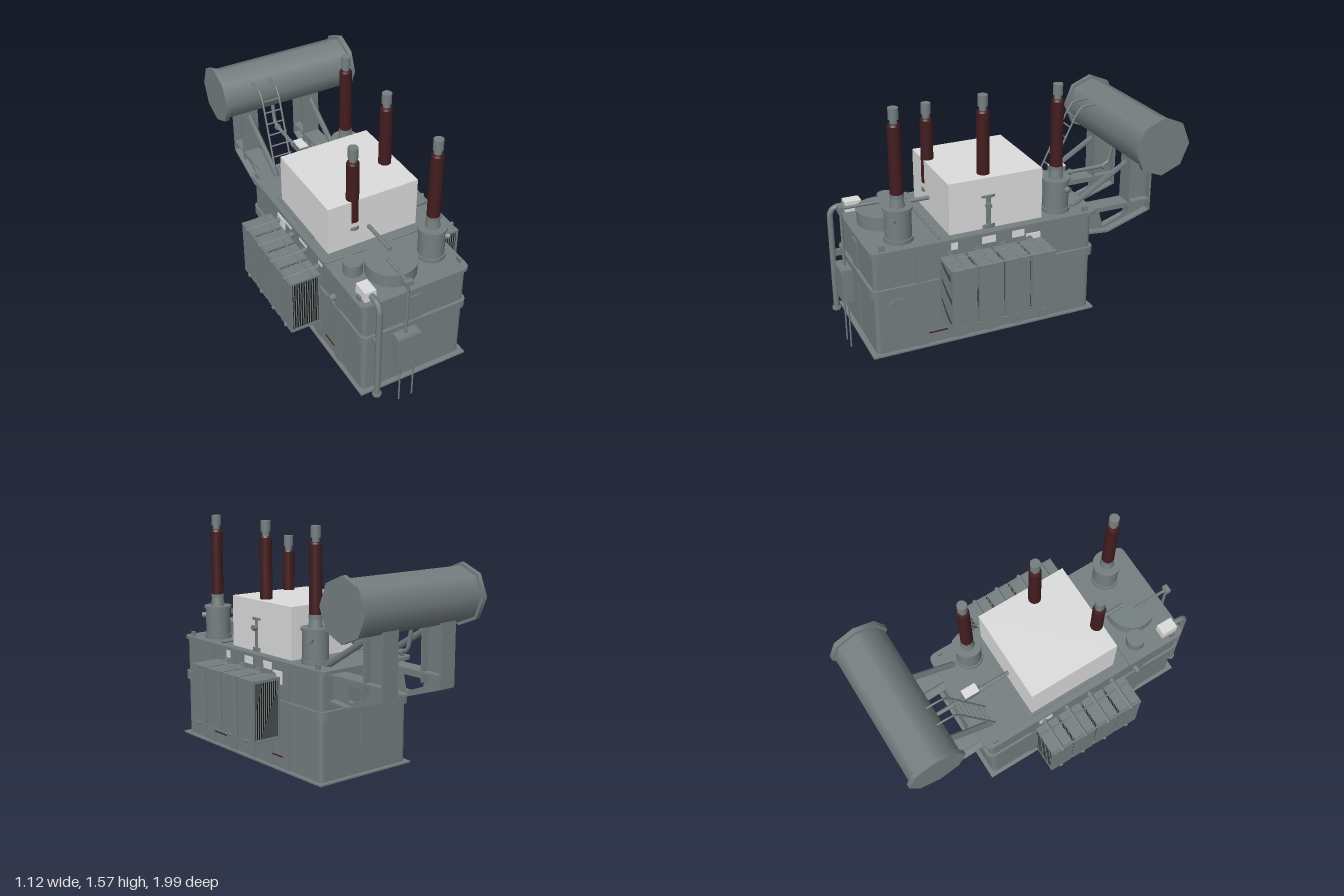
import * as THREE from 'three';

export function createModel() {
  const root = new THREE.Group();
  root.name = 'powerTransformer';
  const material = (name, color) => {
    const m = new THREE.MeshStandardMaterial({ color });
    m.name = name;
    return m;
  };
  const grey = material('steel grey', 0x757e80);
  const light = material('light grey', 0xdcdcdc);
  const maroon = material('porcelain maroon', 0x421c1e);
  const dark = material('gap black', 0x1a1c1c);

  const add = (name, geo, mat = grey, parent = root) => {
    const m = new THREE.Mesh(geo, mat);
    m.name = name;
    parent.add(m);
    return m;
  };
  // box given by its limits
  const box = (name, x0, x1, y0, y1, z0, z1, mat = grey, parent = root) => {
    const m = add(name, new THREE.BoxGeometry(Math.abs(x1 - x0), y1 - y0, z1 - z0), mat, parent);
    m.position.set((x0 + x1) / 2, (y0 + y1) / 2, (z0 + z1) / 2);
    return m;
  };
  // upright cylinder from y0 to y1
  const drum = (name, x, z, y0, y1, r, mat = grey, parent = root, rTop = r) => {
    const m = add(name, new THREE.CylinderGeometry(rTop, r, y1 - y0, 24), mat, parent);
    m.position.set(x, (y0 + y1) / 2, z);
    return m;
  };
  // straight round or square bar between two points
  const bar = (name, a, b, r, sides = 12, mat = grey, parent = root) => {
    const p = new THREE.Vector3(...a), q = new THREE.Vector3(...b);
    const d = q.clone().sub(p);
    const m = add(name, new THREE.CylinderGeometry(r, r, d.length(), sides), mat, parent);
    m.position.copy(p).add(q).multiplyScalar(0.5);
    m.quaternion.setFromUnitVectors(new THREE.Vector3(0, 1, 0), d.normalize());
    return m;
  };
  // bent pipe along a few points
  const pipe = (name, pts, r) => {
    const curve = new THREE.CatmullRomCurve3(pts.map(p => new THREE.Vector3(...p)), false, 'catmullrom', 0.1);
    return add(name, new THREE.TubeGeometry(curve, 60, r, 10));
  };
  // rounded outline seen from above
  const outline = (S, x0, x1, z0, z1, r) => {
    const s = new S();
    s.moveTo(x0 + r, -z1);
    s.lineTo(x1 - r, -z1); s.quadraticCurveTo(x1, -z1, x1, -z1 + r);
    s.lineTo(x1, -z0 - r); s.quadraticCurveTo(x1, -z0, x1 - r, -z0);
    s.lineTo(x0 + r, -z0); s.quadraticCurveTo(x0, -z0, x0, -z0 - r);
    s.lineTo(x0, -z1 + r); s.quadraticCurveTo(x0, -z1, x0 + r, -z1);
    return s;
  };
  const slab = (name, x0, x1, z0, z1, y0, y1, r, wall = 0) => {
    const s = outline(THREE.Shape, x0, x1, z0, z1, r);
    if (wall) s.holes.push(outline(THREE.Path, x0 + wall, x1 - wall, z0 + wall, z1 - wall, r * 0.7));
    const g = new THREE.ExtrudeGeometry(s, { depth: y1 - y0, bevelEnabled: false, curveSegments: 5 });
    g.rotateX(-Math.PI / 2).translate(0, y0, 0);
    return add(name, g);
  };

  // Tank: hollow walls, base flange, belt and lid
  slab('tankWalls', -0.322, 0.336, -0.46, 0.9, 0.13, 0.77, 0.03, 0.012);
  slab('baseFlange', -0.345, 0.36, -0.485, 0.93, 0.125, 0.135, 0.004, 0.05);
  slab('tankBelt', -0.335, 0.352, -0.48, 0.918, 0.497, 0.55, 0.05, 0.03);
  slab('tankLid', -0.345, 0.355, -0.49, 0.915, 0.765, 0.785, 0.05);
  box('frontStiffener', -0.037, 0.045, 0.165, 0.725, 0.9, 0.908);
  box('backStiffener', -0.037, 0.045, 0.165, 0.725, -0.468, -0.46);
  for (const s of [1, -1]) {
    const wall = s > 0 ? 0.336 : -0.322;
    for (const z of [0.62, 0.38, 0.19, 0.02, -0.15])
      box('sideStiffener', wall, wall + s * 0.008, 0.135, 0.765, z - 0.032, z + 0.032);
    for (const z of [0.53, -0.07])
      box('wallSlot', wall - 0.004, wall + 0.004, 0.2, 0.207, z - 0.06, z + 0.06, maroon);
    // light plates between wall and lid
    for (const [y0, y1, z0, z1] of [[0.715, 0.762, 0.4, 0.44], [0.715, 0.762, 0.165, 0.25], [0.715, 0.762, -0.015, 0.06], [0.645, 0.72, -0.12, -0.03]])
      box('lightPlate', wall + s * 0.003, wall + s * 0.011, y0, y1, z0, z1, light);
  }
  bar('sideHatch', [0.33, 0.39, 0.755], [0.342, 0.39, 0.755], 0.085, 32);
  bar('sideValve', [-0.32, 0.61, 0.59], [-0.365, 0.61, 0.59], 0.02);

  // Lid equipment
  box('housing', -0.285, 0.298, 0.65, 1.098, -0.148, 0.432, light);
  box('lidPanel', -0.305, -0.18, 0.78, 0.792, -0.18, 0.27);
  bar('lidCrossBar', [-0.345, 0.797, 0.505], [0.335, 0.797, 0.505], 0.008);
  drum('roundTurret', -0.045, 0.715, 0.78, 0.865, 0.148);
  drum('roundTurretCover', -0.045, 0.715, 0.862, 0.872, 0.152);
  drum('smallTurret', -0.235, 0.625, 0.78, 0.86, 0.056);
  box('pipeBox', -0.305, -0.235, 0.785, 0.85, 0.78, 0.88, light);
  for (const x of [-0.32, 0.325]) for (const z of [0.84, -0.42])
    box('liftingLug', x - 0.006, x + 0.006, 0.78, 0.815, z - 0.018, z + 0.018);

  // Bushings with slightly tapered insulators
  const bushing = (x, z, y0, y1, r) => {
    const g = new THREE.Group();
    g.name = 'bushing';
    root.add(g);
    drum('insulator', x, z, y0, y1 - 0.012, r, maroon, g, r * 0.96);
    drum('insulatorTop', x, z, y1 - 0.012, y1, r * 0.96, maroon, g, r * 0.8);
    drum('insulatorNeck', x, z, y1 - 0.005, y1 + 0.028, 0.021, grey, g);
    drum('terminalCap', x, z, y1 + 0.025, y1 + 0.09, 0.029, grey, g);
    return g;
  };
  for (const [z, turn] of [[-0.275, -0.5], [0.19, 0.05], [0.708, 0.7]]) {
    const g = bushing(0.223, z, 1.065, 1.475, 0.038);
    drum('turret', 0.223, z, 0.78, 0.985, 0.077, grey, g);
    drum('turretFoot', 0.223, z, 0.785, 0.81, 0.085, grey, g);
    drum('turretFlange', 0.223, z, 0.977, 0.992, 0.086, grey, g);
    drum('turretNeck', 0.223, z, 0.99, 1.045, 0.044, grey, g, 0.036);
    drum('insulatorFoot', 0.223, z, 1.043, 1.067, 0.04, grey, g);
    const c = Math.cos(turn), s = Math.sin(turn);
    bar('turretPort', [0.223 + 0.06 * c, 0.93, z + 0.06 * s], [0.223 + 0.1 * c, 0.93, z + 0.1 * s], 0.018, 12, grey, g);
  }
  const neutral = bushing(-0.113, 0.402, 0.95, 1.35, 0.038);
  drum('bushingFlange', -0.113, 0.4, 0.895, 0.915, 0.042, grey, neutral);

  // Radiator banks: fins stacked outward from the tank, with dark gaps
  const radiators = (s, inner, outer, zStart) => {
    const n = 13;
    for (let k = 0; k < 4; k++) {
      const g = new THREE.Group();
      g.name = 'radiator';
      root.add(g);
      const z0 = zStart + k * 0.163, z1 = z0 + 0.146, zc = (z0 + z1) / 2;
      const step = (outer - inner) / n;
      for (let i = 0; i < n; i++) {
        const x = s * (inner + (i + 0.5) * step), half = step * (i % (n - 1) ? 0.17 : 0.45);
        box('fin', x - half, x + half, 0.335, 0.68, z0, z1, grey, g);
      }
      box('finGap', s * (inner + step * 0.4), s * (outer - step * 0.4), 0.343, 0.674, z0 + 0.003, z1 - 0.003, dark, g);
      for (const y of [0.33, 0.688]) {
        bar('header', [s * 0.32, y, zc], [s * (outer + 0.008), y, zc], 0.012, 12, grey, g);
        bar('headerFlange', [s * (inner - 0.012), y, zc], [s * (inner - 0.002), y, zc], 0.022, 16, grey, g);
        box('finCap', s * inner, s * outer, y - 0.008, y + 0.004, z0, z1, grey, g);
      }
    }
    for (const y of [0.33, 0.692]) for (const x of [inner + 0.05, outer - 0.008])
      bar('tieRod', [s * x, y, zStart], [s * x, y, zStart + 0.631], 0.006, 8);
  };
  radiators(1, 0.36, 0.552, -0.117);
  radiators(-1, 0.355, 0.548, -0.165);

  // Conservator drum with end flanges
  const lying = (name, x0, x1, r) => {
    const m = add(name, new THREE.CylinderGeometry(r, r, x1 - x0, 8));
    m.rotation.z = Math.PI / 2;
    m.position.set((x0 + x1) / 2, 1.19, -0.822);
  };
  lying('conservator', -0.38, 0.49, 0.16);
  lying('conservatorEnd', -0.395, -0.367, 0.178);
  lying('conservatorEnd', 0.473, 0.503, 0.178);

  // Conservator supports: I-section arms, H-section posts and struts
  const arm = new THREE.Shape([[0.12, 0.76], [0.9, 0.76], [0.9, 0.685], [0.61, 0.588], [0.47, 0.6], [0.43, 0.645], [0.12, 0.645]].map(p => new THREE.Vector2(...p)));
  arm.holes.push(new THREE.Path([[0.57, 0.71], [0.735, 0.71], [0.725, 0.665], [0.595, 0.615]].map(p => new THREE.Vector2(...p))));
  const lowerFlange = new THREE.Shape([[0.9, 0.685], [0.61, 0.588], [0.47, 0.6], [0.47, 0.612], [0.61, 0.6], [0.9, 0.697]].map(p => new THREE.Vector2(...p)));
  for (const x of [-0.205, 0.23]) {
    for (const [name, shape, width] of [['supportArmWeb', arm, 0.024], ['supportArmFlange', lowerFlange, 0.11]]) {
      const g = new THREE.ExtrudeGeometry(shape, { depth: width, bevelEnabled: false });
      g.rotateY(Math.PI / 2).translate(x - width / 2, 0, 0);
      add(name, g);
    }
    box('supportArmTop', x - 0.055, x + 0.055, 0.75, 0.763, -0.9, -0.45);
    box('postWeb', x - 0.01, x + 0.01, 0.74, 1.09, -0.89, -0.75);
    box('postFlange', x - 0.055, x + 0.055, 0.7, 1.07, -0.757, -0.745);
    box('postFlange', x - 0.055, x + 0.055, 0.685, 1.07, -0.9, -0.888);
    bar('supportStrut', [x, 0.785, -0.38], [x, 1.02, -0.765], 0.02, 4);
  }

  // Access ladder hooked over the conservator
  for (const x of [-0.195, -0.083])
    pipe('ladderRail', [[x - 0.02, 0.785, -0.36], [x, 1.22, -0.56], [x, 1.275, -0.6], [x, 1.282, -0.64], [x, 1.282, -0.72]], 0.006);
  for (let i = 0; i < 7; i++) {
    const y = 0.84 + i * 0.063, z = -0.36 - (y - 0.785) * 0.46;
    bar('ladderRung', [-0.2, y, z], [-0.083, y, z], 0.005, 8);
  }

  // Oil pipe with relay, running from the lid to the conservator
  pipe('oilPipe', [[-0.022, 0.888, 0.66], [-0.022, 0.888, 0], [-0.022, 0.888, -0.7], [-0.022, 0.91, -0.77], [-0.022, 1.06, -0.8]], 0.012);
  bar('oilPipeEnd', [-0.022, 0.888, 0.65], [-0.022, 0.888, 0.665], 0.013);
  box('relay', -0.05, 0.008, 0.9, 0.945, -0.455, -0.36);
  box('relayCover', -0.05, 0.008, 0.945, 0.953, -0.455, -0.36, light);
  for (const z of [-0.33, -0.49, -0.72]) bar('pipeFlange', [-0.022, 0.888, z], [-0.022, 0.888, z - 0.015], 0.02, 16);

  // Front drain pipe
  pipe('drainPipe', [[-0.266, 0.82, 0.85], [-0.266, 0.82, 0.92], [-0.266, 0.81, 0.95], [-0.266, 0.77, 0.968], [-0.266, 0.4, 0.968], [-0.266, 0.14, 0.968]], 0.018);
  drum('drainFoot', -0.266, 0.968, 0.135, 0.15, 0.026);
  box('drainBracket', -0.275, -0.257, 0.5, 0.54, 0.9, 0.965);

  // Control cabinet with legs and conduit
  box('cabinet', -0.15, -0.005, 0.312, 0.525, 0.925, 0.985);
  box('cabinetDoor', -0.155, 0, 0.318, 0.52, 0.983, 0.992);
  for (const x of [-0.108, -0.02]) bar('cabinetLeg', [x, 0, 0.957], [x, 0.315, 0.957], 0.005, 8);
  bar('conduit', [-0.08, 0.52, 0.95], [-0.08, 0.9, 0.95], 0.009);
  bar('conduitArm', [-0.08, 0.89, 0.955], [-0.08, 0.89, 0.72], 0.009);
  box('conduitHead', -0.105, -0.055, 0.875, 0.905, 0.935, 0.965);

  return root;
}
